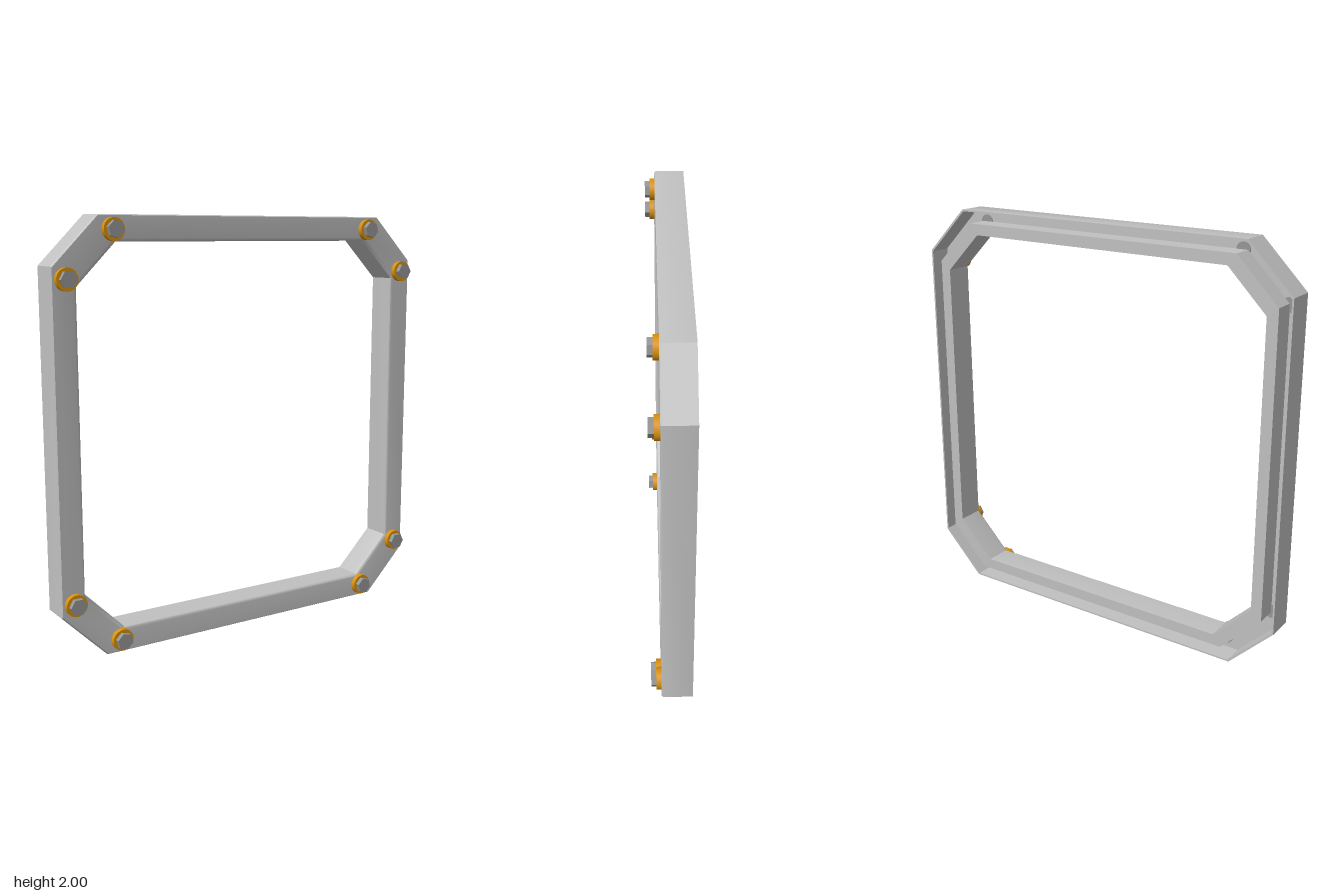
import * as THREE from 'three';
import { toCreasedNormals } from 'three/addons/utils/BufferGeometryUtils.js';

const paint = new THREE.MeshStandardMaterial({ color: 0xc0c0c0 });
paint.name = 'light grey frame';
const brass = new THREE.MeshStandardMaterial({ color: 0xd8920f });
brass.name = 'golden washer';
const steel = new THREE.MeshStandardMaterial({ color: 0x969696 });
steel.name = 'grey steel';

const FRONT = 0.048, BACK = -0.095, FLOOR = 0.01;

// Octagon corners, counter-clockwise, from half width h and corner position c
const octagon = (h, c) => [
  [h, -c], [h, c], [c, h], [-c, h], [-h, c], [-h, -c], [-c, -h], [c, -h],
];

// Channel section: t runs from the outer edge (0) to the inner edge (1)
function channelProfile() {
  const points = [[0.04, FRONT]];
  for (let i = 0; i <= 4; i++) {
    const a = (i / 4) * Math.PI / 2;
    points.push([0.87 + 0.13 * Math.sin(a), FRONT - 0.016 * (1 - Math.cos(a))]);
  }
  points.push([1, BACK], [0.54, BACK], [0.54, FLOOR], [0.07, FLOOR],
    [0.07, BACK], [0, BACK], [0, FRONT - 0.007]);
  return points;
}

// Sweep the section around the octagonal ring
function frameGeometry() {
  const outer = octagon(1, 0.78), inner = octagon(0.882, 0.69);
  const profile = channelProfile(), n = profile.length;
  const positions = [], index = [];
  for (let i = 0; i < 8; i++) {
    for (const [t, z] of profile) {
      positions.push(
        THREE.MathUtils.lerp(outer[i][0], inner[i][0], t),
        THREE.MathUtils.lerp(outer[i][1], inner[i][1], t), z);
    }
  }
  for (let i = 0; i < 8; i++) {
    for (let j = 0; j < n; j++) {
      const i2 = (i + 1) % 8, j2 = (j + 1) % n;
      const a = i * n + j, b = i * n + j2, c = i2 * n + j2, d = i2 * n + j;
      index.push(a, d, c, a, c, b);
    }
  }
  const geometry = new THREE.BufferGeometry();
  geometry.setAttribute('position', new THREE.Float32BufferAttribute(positions, 3));
  geometry.setIndex(index);
  return toCreasedNormals(geometry, 0.6);
}

// Cylinder along z between two depths
function rod(name, radius, z0, z1, sides, material) {
  const geometry = new THREE.CylinderGeometry(radius, radius, z1 - z0, sides);
  geometry.rotateX(Math.PI / 2);
  geometry.translate(0, 0, (z0 + z1) / 2);
  const mesh = new THREE.Mesh(sides === 6 ? toCreasedNormals(geometry, 0.5) : geometry, material);
  mesh.name = name;
  return mesh;
}

function createBolt(x, y, turn) {
  const bolt = new THREE.Group();
  bolt.name = 'bolt';
  const head = rod('boltHead', 0.04, 0.07, 0.095, 6, steel);
  head.rotation.z = turn;
  bolt.add(
    head,
    rod('washer', 0.051, FRONT - 0.002, 0.072, 32, brass),
    rod('boltShank', 0.034, FLOOR - 0.004, FRONT, 24, steel),
  );
  bolt.position.set(x, y, 0);
  return bolt;
}

export function createModel() {
  const model = new THREE.Group();
  model.name = 'boltedFrame';

  const frame = new THREE.Mesh(frameGeometry(), paint);
  frame.name = 'channelFrame';
  frame.position.y = 1;
  model.add(frame);

  // Two bolts at each corner
  for (const sx of [-1, 1]) {
    for (const sy of [-1, 1]) {
      model.add(
        createBolt(sx * 0.935, 1 + sy * 0.725, Math.PI / 6),
        createBolt(sx * 0.71, 1 + sy * 0.936, Math.PI / 12),
      );
    }
  }
  return model;
}
